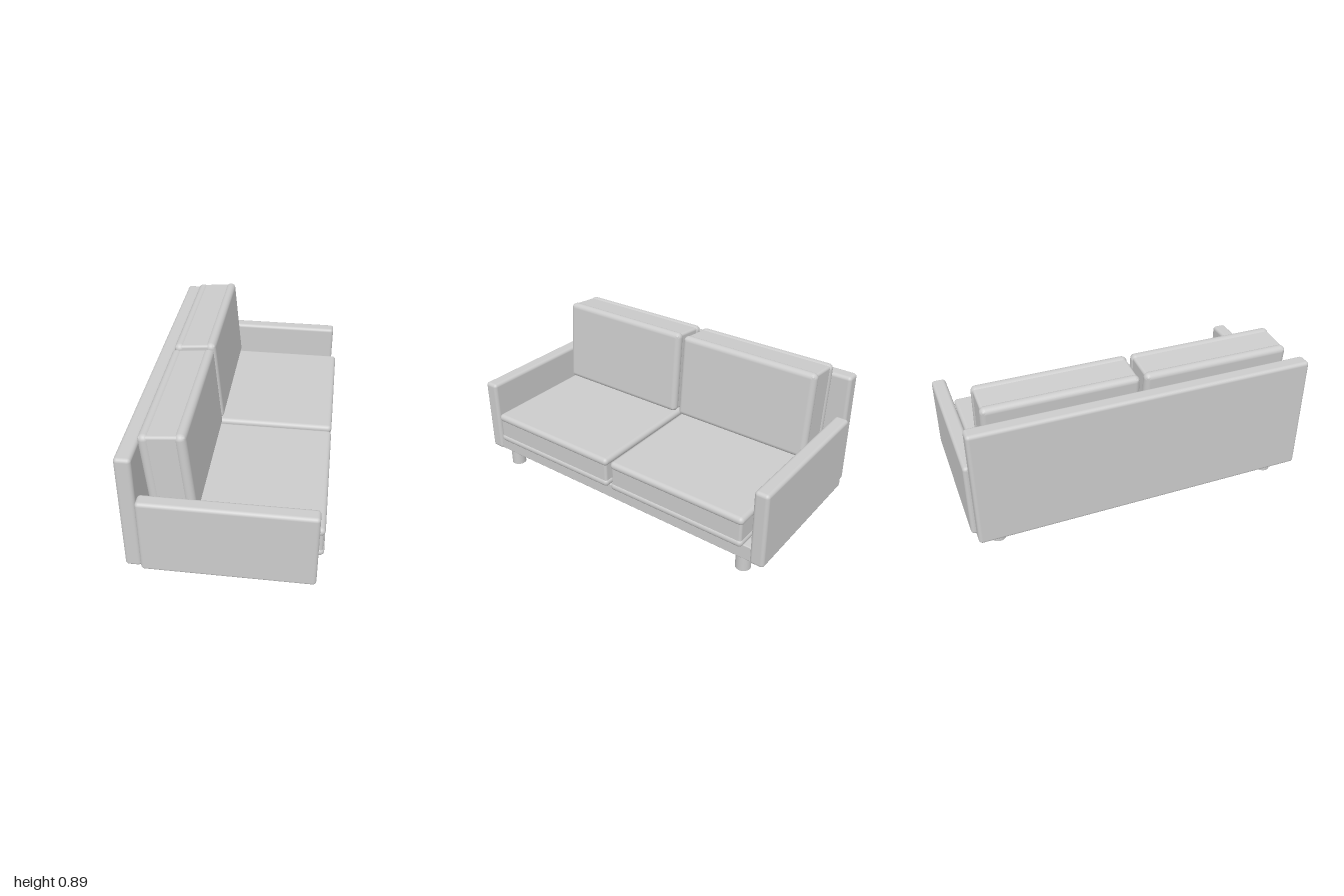
import * as THREE from 'three';
import { RoundedBoxGeometry } from 'three/addons/geometries/RoundedBoxGeometry.js';

const material = new THREE.MeshStandardMaterial({ color: 0xcccccc });

// Rounded block given by its minimum and maximum on each axis
function block(name, [x0, x1], [y0, y1], [z0, z1], radius) {
  const mesh = new THREE.Mesh(new RoundedBoxGeometry(x1 - x0, y1 - y0, z1 - z0, 4, radius), material);
  mesh.name = name;
  mesh.position.set((x0 + x1) / 2, (y0 + y1) / 2, (z0 + z1) / 2);
  return mesh;
}

// Cushion lying flat, centred on its origin: a slightly recessed core
// between two fuller panels whose rounded edges stand out like a seam
function cushion(name, length, thickness, width, edge) {
  const group = new THREE.Group();
  group.name = name;
  const l = length / 2, t = thickness / 2, w = width / 2, inset = 0.007;
  group.add(block('cushionCore', [-l + inset, l - inset], [-t + 0.002, t - 0.002], [-w + inset, w - inset], 0.015));
  group.add(block('upperPanel', [-l, l], [t - 2 * edge, t], [-w, w], edge * 0.98));
  group.add(block('lowerPanel', [-l, l], [-t, -t + 2 * edge], [-w, w], edge * 0.98));
  return group;
}

export function createModel() {
  const sofa = new THREE.Group();
  sofa.name = 'sofa';

  // Frame: the seat opens towards +x
  sofa.add(block('backrest', [-0.52, -0.432], [0.1, 0.808], [-0.976, 0.976], 0.02));
  sofa.add(block('base', [-0.435, 0.475], [0.102, 0.193], [-0.92, 0.92], 0.006));

  for (const side of [-1, 1]) {
    const end = side > 0 ? 'Left' : 'Right';

    // Arm panel
    const arm = block('arm' + end, [-0.432, 0.486], [0.1, 0.556], [-0.042, 0.042], 0.02);
    arm.position.z = side * 0.957;
    sofa.add(arm);

    // Seat cushion
    const seat = cushion('seatCushion' + end, 0.945, 0.187, 0.868, 0.024);
    seat.position.set(0.0425, 0.286, side * 0.446);
    sofa.add(seat);

    // Back cushion, stood upright and leaning back
    const back = cushion('backCushion' + end, 0.51, 0.243, 0.862, 0.03);
    back.rotation.z = Math.PI / 2 + THREE.MathUtils.degToRad(5);
    back.position.set(-0.283, 0.631, side * 0.444);
    sofa.add(back);

    // Round legs
    for (const x of [-0.383, 0.418]) {
      const leg = new THREE.Mesh(new THREE.CylinderGeometry(0.043, 0.043, 0.11, 32), material);
      leg.name = 'leg' + end + (x > 0 ? 'Front' : 'Back');
      leg.position.set(x, 0.055, side * 0.848);
      sofa.add(leg);
    }
  }
  return sofa;
}
